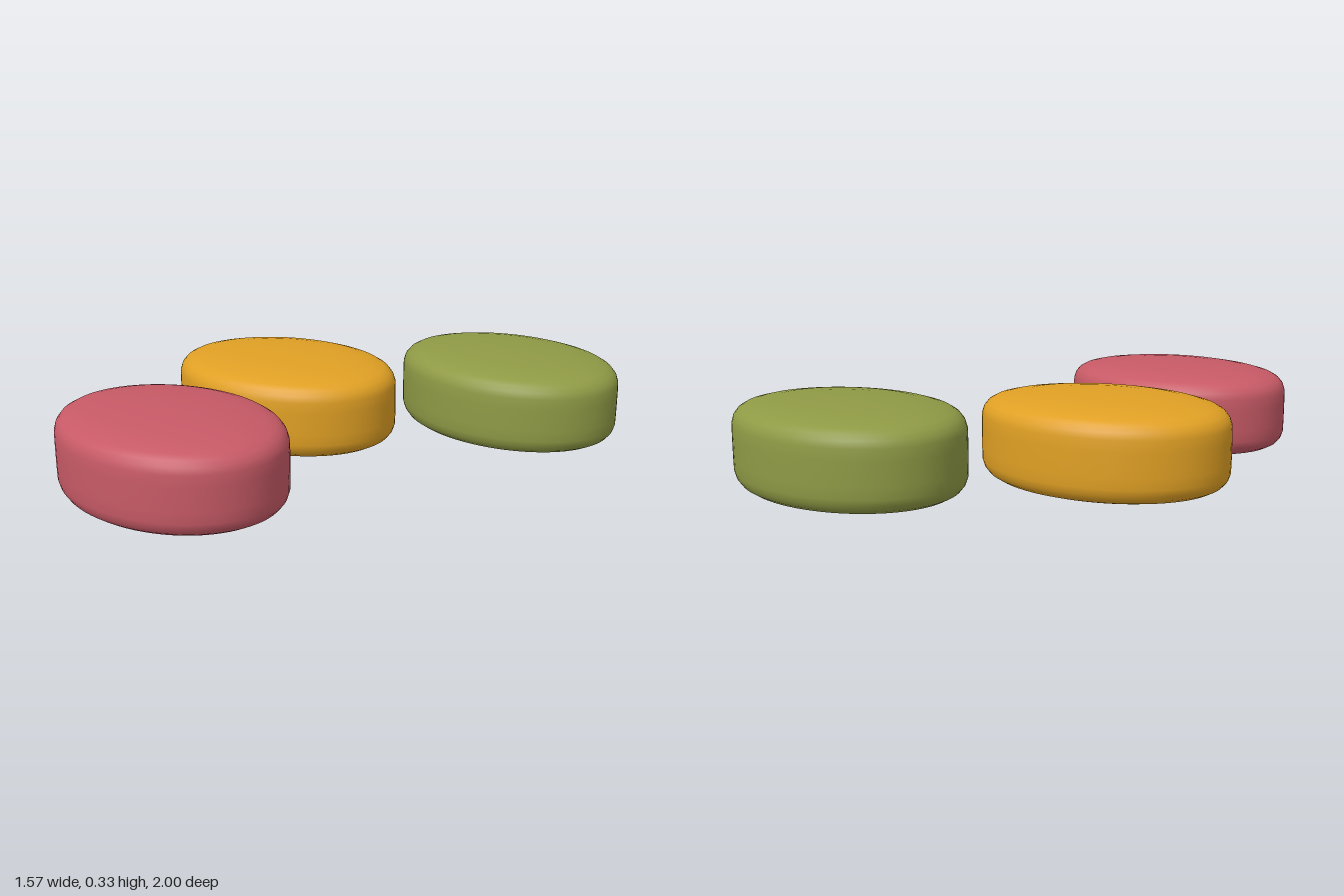
import * as THREE from 'three';

const HEIGHT = 0.33;

// Pebble-like tablet: gently domed faces, rounded rim, oval outline
function tabletGeometry() {
  // upper half of the section: unit radius, height above the middle
  const upper = [
    [1, 0.04], [0.998, 0.08], [0.98, 0.103], [0.945, 0.121], [0.89, 0.134],
    [0.8, 0.144], [0.65, 0.154], [0.45, 0.161], [0.2, 0.1645], [0, 0.165],
  ];
  const lower = upper.map(([r, y]) => [r, -y]).reverse();
  const profile = [...lower, [1, 0], ...upper].map(([r, y]) => new THREE.Vector2(r, y));
  const geometry = new THREE.LatheGeometry(profile, 72);
  geometry.scale(0.45, 1, 0.345);
  return geometry;
}

export function createModel() {
  const group = new THREE.Group();
  group.name = 'tablets';
  const geometry = tabletGeometry();

  // name, colour, x, z, turn about the vertical
  const tablets = [
    ['greenTablet', 'olive green', 0x8f9a45, 0.335, -0.65, -0.17],
    ['orangeTablet', 'amber', 0xe0a024, -0.335, -0.105, 0],
    ['redTablet', 'rose red', 0xc75a66, -0.235, 0.65, -0.17],
  ];
  for (const [name, colourName, color, x, z, turn] of tablets) {
    const material = new THREE.MeshStandardMaterial({ color });
    material.name = colourName;
    const tablet = new THREE.Mesh(geometry, material);
    tablet.name = name;
    tablet.position.set(x, HEIGHT / 2, z);
    tablet.rotation.y = turn;
    group.add(tablet);
  }
  return group;
}
